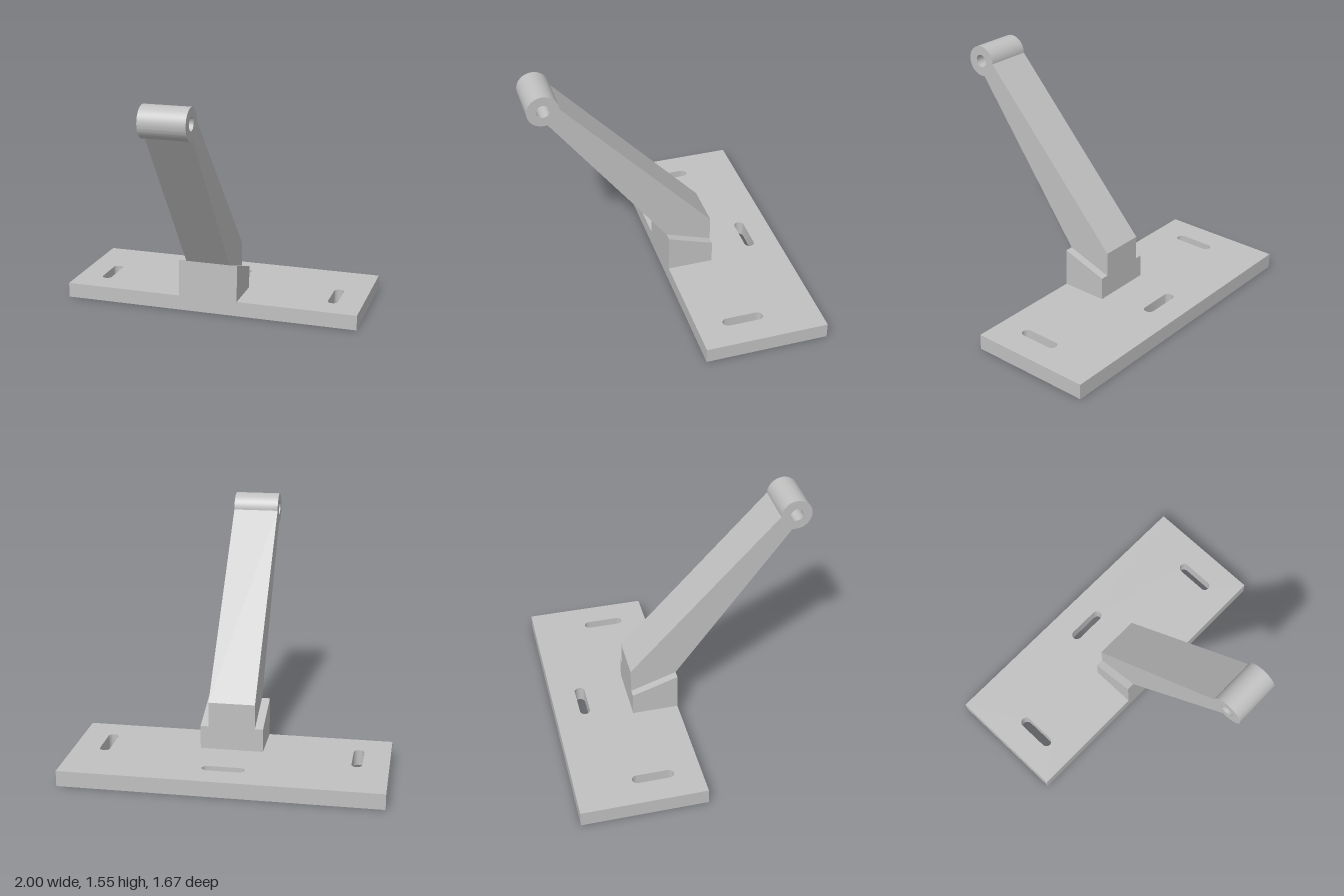
import * as THREE from 'three';
import { toCreasedNormals } from 'three/addons/utils/BufferGeometryUtils.js';

const FRONT = -0.033, BACK = -0.833;

// Extrude a shape symmetrically about its own plane, with sharp edges kept
function extrude(shape, depth) {
  const geo = new THREE.ExtrudeGeometry(shape, { depth, bevelEnabled: false, curveSegments: 32 });
  geo.translate(0, 0, -depth / 2);
  return toCreasedNormals(geo, 0.5);
}

// Rounded slot outline between two end centres
function slot(x, y, halfLength, r, alongX) {
  const p = new THREE.Path();
  const a = alongX ? 0 : Math.PI / 2;
  const dx = Math.cos(a) * halfLength, dy = Math.sin(a) * halfLength;
  p.absarc(x + dx, y + dy, r, a - Math.PI / 2, a + Math.PI / 2, false);
  p.absarc(x - dx, y - dy, r, a + Math.PI / 2, a + Math.PI * 1.5, false);
  p.closePath();
  return p;
}

export function createModel() {
  const group = new THREE.Group();
  const grey = new THREE.MeshStandardMaterial({ color: 0xc0c0c0 });
  grey.name = 'grey';
  const add = (name, geo) => {
    const mesh = new THREE.Mesh(geo, grey);
    mesh.name = name;
    group.add(mesh);
  };

  // Base plate with three slots, drawn in x and -z
  const plate = new THREE.Shape([[-1, -FRONT], [1, -FRONT], [1, -BACK], [-1, -BACK]]
    .map(([x, y]) => new THREE.Vector2(x, y)));
  plate.holes.push(
    slot(-0.8, 0.338, 0.1, 0.033, false),
    slot(0.8, 0.338, 0.1, 0.033, false),
    slot(0, 0.638, 0.1, 0.033, true));
  add('basePlate', extrude(plate, 0.1).rotateX(-Math.PI / 2).translate(0, 0.05, 0));

  // Mounting block with a top sloping down to the back, drawn in z and y
  const block = new THREE.Shape([[FRONT, 0.1], [FRONT, 0.35], [-0.333, 0.25], [-0.333, 0.1]]
    .map(([z, y]) => new THREE.Vector2(z, y)));
  add('mountingBlock', extrude(block, 0.4).rotateY(-Math.PI / 2));

  // Leaning arm ending in a round eye with a pin hole
  const arm = new THREE.Shape();
  arm.moveTo(FRONT, 0.35);
  arm.lineTo(-0.333, 0.25);
  arm.lineTo(-0.333, 0.41);
  arm.lineTo(0.633, 1.45);
  arm.absarc(0.733, 1.45, 0.1, Math.PI, -1.8, true);
  arm.closePath();
  const hole = new THREE.Path();
  hole.absarc(0.733, 1.45, 0.041, 0, Math.PI * 2, false);
  arm.holes.push(hole);
  add('arm', extrude(arm, 0.296).rotateY(-Math.PI / 2));

  return group;
}
